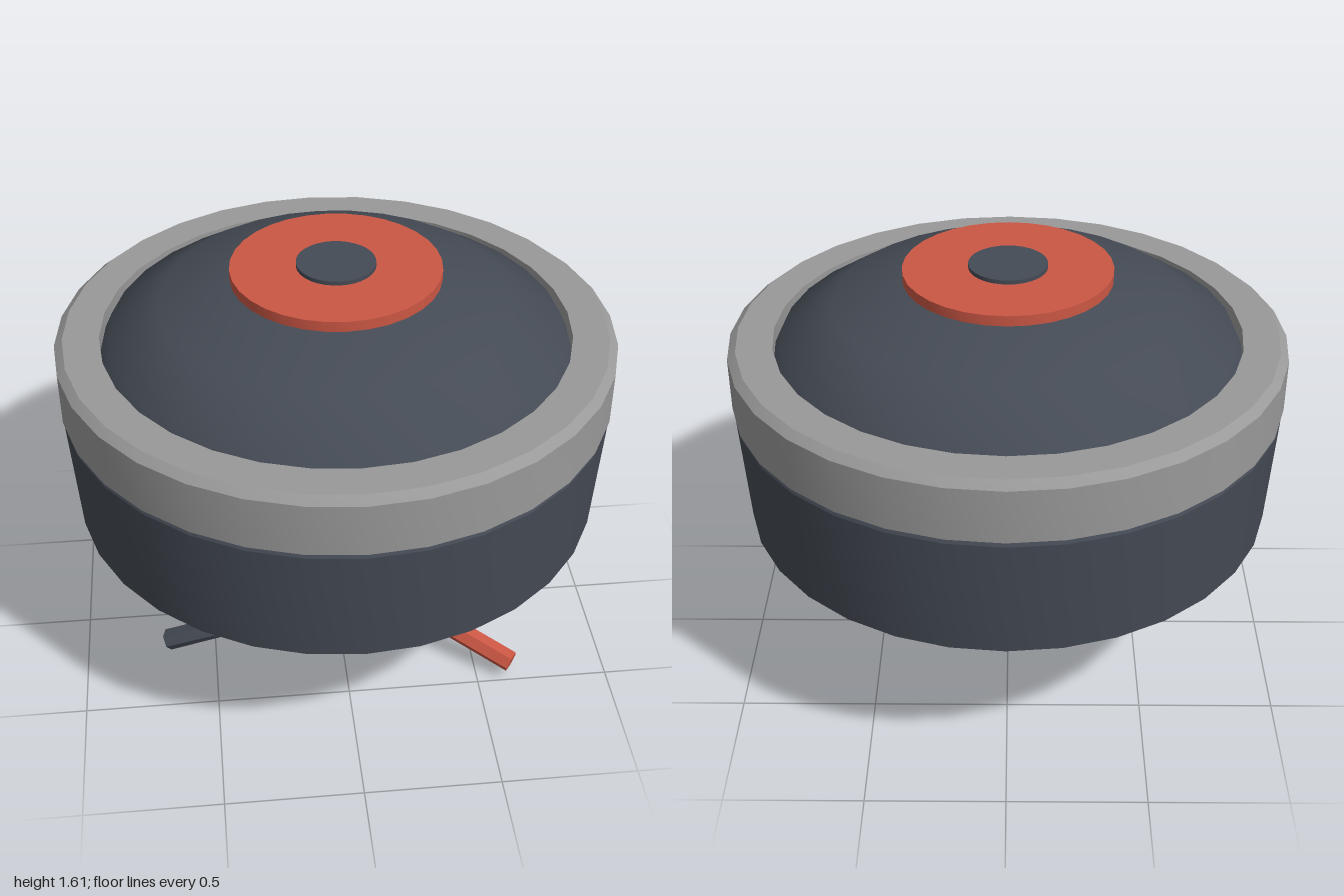
import * as THREE from 'three';
import { toCreasedNormals } from 'three/addons/utils/BufferGeometryUtils.js';

const SIDES = 32;

export function createModel() {
  const model = new THREE.Group();
  const mat = (name, color, flatShading = false) => {
    const m = new THREE.MeshStandardMaterial({ color, flatShading });
    m.name = name;
    return m;
  };
  const slate = mat('slate', 0x454b55);
  const grey = mat('grey', 0x999999);
  const red = mat('red', 0xcb5744);

  const add = (name, geometry, material) => {
    const mesh = new THREE.Mesh(geometry, material);
    mesh.name = name;
    model.add(mesh);
    return mesh;
  };

  // Turned part from [radius, height] pairs, bottom to top, with crisp edges
  const turned = (name, profile, material, crease = 0.4) => {
    const points = profile.map(([r, y]) => new THREE.Vector2(r, y));
    add(name, toCreasedNormals(new THREE.LatheGeometry(points, SIDES), crease), material);
  };

  // Drum housing and the collar around its top
  turned('housing', [[0, 0.56], [0.785, 0.56], [0.968, 0.665], [0.995, 1.11], [0.985, 1.132], [0, 1.132]], slate);
  turned('collar', [[0.84, 1.13], [1, 1.13], [1, 1.325], [0.97, 1.35], [0.84, 1.35], [0.84, 1.13]], grey);

  // Flattened half-sphere dome
  const dome = [];
  for (let i = 0; i <= 4; i++) {
    const a = (i * Math.PI) / 8;
    dome.push([0.88 * Math.cos(a), 1.205 + 0.38 * Math.sin(a)]);
  }
  turned('dome', dome, slate, 0.8);

  // Disc and cap on top of the dome
  const disc = (name, r, y0, y1, material) =>
    turned(name, [[0, y0], [r, y0], [r, y1], [0, y1]], material);
  disc('topDisc', 0.372, 1.557, 1.595, red);
  disc('topCap', 0.14, 1.58, 1.61, slate);

  // Chamfered block under the housing
  const block = add('baseBlock', chamferedBox(0.78, 0.355, 0.47, 0.07), slate);
  block.position.y = 0.39;

  // Bent wire leads at the front of the block
  add('leftLead', bentRod([[0.235, 0.28, 0.21], [0.38, 0.145, 0.295], [0.63, 0.073, 0.475]], 0.042), red);
  add('rightLead', bentRod([[-0.25, 0.265, 0.18], [-0.43, 0.155, 0.24], [-0.685, 0.036, 0.18]], 0.042), slate);

  return model;
}

// Box with 45 degree chamfers, softly shaded across the chamfers
function chamferedBox(w, h, d, bevel) {
  const g = new THREE.BoxGeometry(1, 1, 1, 3, 3, 3);
  const { position, normal } = g.attributes;
  const p = new THREE.Vector3();
  const half = [w / 2 - bevel, h / 2 - bevel, d / 2 - bevel];
  for (let i = 0; i < position.count; i++) {
    p.fromBufferAttribute(position, i);
    const c = p.toArray();
    const out = c.map((v) => (Math.abs(v) > 0.4 ? Math.sign(v) : 0));
    const reach = bevel / out.reduce((sum, v) => sum + Math.abs(v), 0);
    position.setXYZ(i, ...c.map((v, k) => Math.sign(v) * half[k] + out[k] * reach));
    p.fromArray(out).normalize();
    normal.setXYZ(i, p.x, p.y, p.z);
  }
  return g;
}

// Six-sided rod whose rings follow a bent path
function bentRod(path, radius) {
  const pts = path.map((p) => new THREE.Vector3(...p));
  const last = pts.length - 1;
  const frames = pts.map((p, i) => {
    const along = new THREE.Vector3();
    if (i > 0) along.add(p.clone().sub(pts[i - 1]).normalize());
    if (i < last) along.add(pts[i + 1].clone().sub(p).normalize());
    along.normalize();
    const side = new THREE.Vector3().crossVectors(along, new THREE.Vector3(0, 1, 0)).normalize();
    const up = new THREE.Vector3().crossVectors(along, side);
    return new THREE.Matrix4().makeBasis(up, along, side).setPosition(p);
  });
  const g = new THREE.CylinderGeometry(radius, radius, 1, 6, last);
  const pos = g.attributes.position;
  const v = new THREE.Vector3();
  for (let i = 0; i < pos.count; i++) {
    v.fromBufferAttribute(pos, i);
    const ring = Math.round((v.y + 0.5) * last);
    v.setY(0).applyMatrix4(frames[ring]);
    pos.setXYZ(i, v.x, v.y, v.z);
  }
  return toCreasedNormals(g, 0.5);
}
